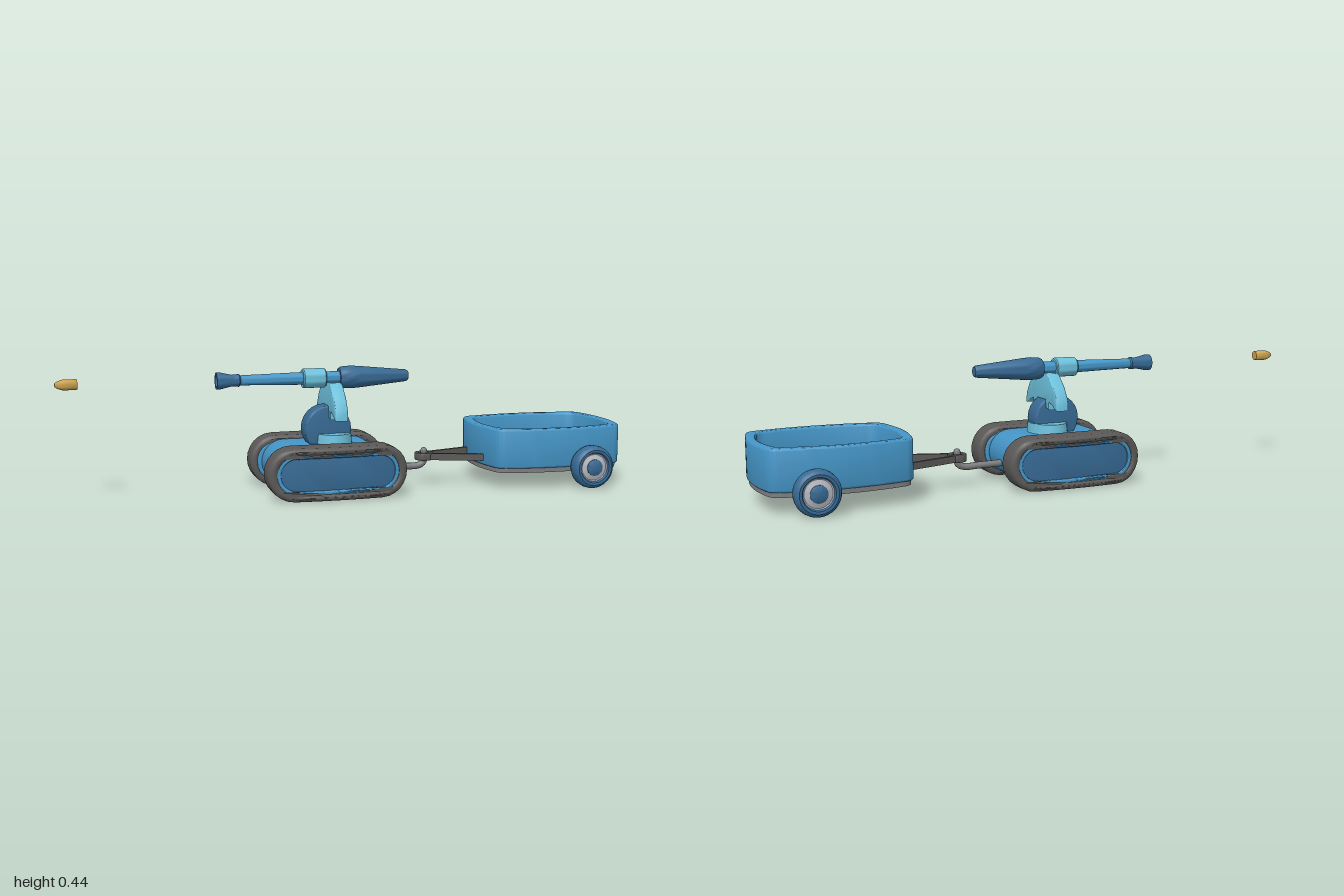
import * as THREE from 'three';
import { toCreasedNormals } from 'three/addons/utils/BufferGeometryUtils.js';

const mat = (name, color) => Object.assign(new THREE.MeshStandardMaterial({ color }), { name });

export function createModel() {
  const root = new THREE.Group();
  const blue = mat('mid blue', 0x4596c8);
  const light = mat('light blue', 0x6cc0dc);
  const navy = mat('dark blue', 0x376a94);
  const rubber = mat('dark grey', 0x5a5957);
  const steel = mat('steel grey', 0x7d7e80);
  const pale = mat('pale grey', 0xb8bac2);
  const brass = mat('brass', 0xc9a14e);

  const add = (name, geo, material, parent = root) => {
    const m = new THREE.Mesh(geo, material);
    m.name = name;
    parent.add(m);
    return m;
  };
  const V = pts => pts.map(p => new THREE.Vector2(...p));
  const crease = (g, a = 0.6) => toCreasedNormals(g, a);
  // Turned part along x; profile is [x, radius]
  const turned = (pts, seg = 24) =>
    crease(new THREE.LatheGeometry(V(pts.map(([x, r]) => [r, x])), seg).rotateZ(-Math.PI / 2));
  // Extrusion whose bevel stays within the outline, starting at z = 0
  const slab = (shape, depth, bevel = 0) => {
    const g = new THREE.ExtrudeGeometry(shape, {
      depth: depth - 2 * bevel, bevelEnabled: bevel > 0, bevelThickness: bevel,
      bevelSize: bevel, bevelOffset: -bevel, bevelSegments: 3, curveSegments: 12,
    });
    return g.translate(0, 0, bevel);
  };
  const upright = g => g.rotateX(-Math.PI / 2);

  // Track outline: stadium with subdivided straights
  const stadium = (half, r) => {
    const pts = [], flat = half - r, n = 12;
    for (const s of [1, -1]) {
      for (let i = 0; i <= n; i++) {
        const a = -Math.PI / 2 + (Math.PI * i) / n;
        pts.push([s * (flat + r * Math.cos(a)), s * r * Math.sin(a)]);
      }
      for (let i = 1; i < 8; i++) pts.push([s * flat * (1 - i / 4), s * r]);
    }
    return V(pts);
  };
  // Bow the outer side outwards in the middle
  const bow = g => {
    const p = g.attributes.position;
    for (let i = 0; i < p.count; i++) {
      const x = p.getX(i) / 0.245, z = p.getZ(i);
      p.setZ(i, z - 0.022 * x * x * Math.max(0, z / 0.105));
    }
    return crease(g);
  };

  // Tracked vehicle
  const vehicle = new THREE.Group();
  vehicle.name = 'trackedVehicle';
  vehicle.position.set(-0.08, 0.092, 0);
  root.add(vehicle);
  const hull = slab(new THREE.Shape(stadium(0.207, 0.079)), 0.22, 0.012).translate(0, 0, -0.11);
  add('hull', crease(hull), blue, vehicle);

  for (const side of [1, -1]) {
    const track = new THREE.Group();
    track.name = side > 0 ? 'leftTrack' : 'rightTrack';
    if (side < 0) track.rotation.y = Math.PI;
    vehicle.add(track);
    const belt = new THREE.Shape(stadium(0.245, 0.091));
    belt.holes.push(new THREE.Path(stadium(0.212, 0.066)));
    add('trackBelt', bow(slab(belt, 0.105, 0.014)).translate(0, 0, 0.103), rubber, track);
    const rim = new THREE.Shape(stadium(0.222, 0.07));
    rim.holes.push(new THREE.Path(stadium(0.201, 0.055)));
    add('trackRim', bow(slab(rim, 0.1, 0.004)).translate(0, 0, 0.1), blue, track);
    add('trackPanel', bow(slab(new THREE.Shape(stadium(0.205, 0.059)), 0.092, 0.004))
      .translate(0, 0, 0.1), navy, track);
  }

  // Turret: base plate, pivot drum and crescent yoke
  const plate = new THREE.CylinderGeometry(0.066, 0.07, 0.045, 32);
  add('turretBase', plate.scale(1, 1, 1.25), light).position.set(-0.055, 0.183, 0);
  const drum = slab(new THREE.Shape().absarc(0, 0, 0.083, 0, Math.PI * 2), 0.074, 0.006);
  add('pivotDrum', crease(drum), navy).position.set(-0.077, 0.22, -0.037);

  const half = [[0.045, 0.381], [0.06, 0.373], [0.1, 0.335], [0.125, 0.295], [0.128, 0.26],
    [0.115, 0.262], [0.095, 0.273], [0.065, 0.284], [0.064, 0.256], [0.04, 0.26], [0.035, 0.29]];
  const mirrored = half.map(([z, y]) => [-z, y]).reverse();
  const yoke = slab(new THREE.Shape(V([...half, ...mirrored])), 0.046, 0.004);
  add('gunYoke', crease(yoke.rotateY(Math.PI / 2)), light).position.x = -0.077;

  // Gun
  const gun = new THREE.Group();
  gun.name = 'gun';
  gun.position.y = 0.397;
  root.add(gun);
  add('muzzle', turned([[-0.435, 0], [-0.435, 0.017], [-0.463, 0.02], [-0.463, 0.029],
    [-0.45, 0.029], [-0.41, 0.02], [-0.385, 0.022], [-0.38, 0.018]]), navy, gun);
  add('barrel', turned([[-0.39, 0.017], [-0.16, 0.022], [-0.02, 0.022]]), blue, gun);
  add('barrelSleeve', turned([[-0.162, 0], [-0.162, 0.031], [-0.158, 0.034], [-0.084, 0.034],
    [-0.08, 0.031], [-0.08, 0]]), light, gun);
  add('breech', turned([[-0.03, 0], [-0.03, 0.033], [-0.02, 0.038], [0.01, 0.04], [0.04, 0.038],
    [0.215, 0.021], [0.222, 0.017], [0.222, 0]]), navy, gun);

  // Shell in flight
  add('shell', turned([[-1, 0], [-0.998, 0.006], [-0.99, 0.012], [-0.976, 0.017], [-0.968, 0.018],
    [-0.929, 0.018], [-0.925, 0.016], [-0.925, 0]]), brass).position.y = 0.4;

  // Tow hook and coupling
  const hookPath = new THREE.CatmullRomCurve3([[0.08, 0.072], [0.2, 0.07], [0.265, 0.07],
    [0.285, 0.082], [0.287, 0.125]].map(([x, y]) => new THREE.Vector3(x, y, 0)));
  add('towHook', new THREE.TubeGeometry(hookPath, 32, 0.012, 10), steel);
  add('hookTip', new THREE.SphereGeometry(0.012, 12, 8), steel).position.set(0.287, 0.123, 0);
  const eye = new THREE.Shape().absarc(0, 0, 0.033, 0, Math.PI * 2);
  eye.holes.push(new THREE.Path().absarc(0, 0, 0.017, 0, Math.PI * 2));
  add('towEye', crease(upright(slab(eye, 0.027, 0.003))), rubber).position.set(0.287, 0.09, 0);
  for (const side of [1, -1]) {
    const bar = add('drawbar', new THREE.BoxGeometry(0.2, 0.024, 0.013), rubber);
    bar.position.set(0.396, 0.103, side * 0.051);
    bar.rotation.y = -side * 0.31;
  }

  // Trailer tub: barrel-sided outline with rounded corners
  const outline = (inset, Type = THREE.Shape) => {
    const a = 0.26 - inset, b = 0.207 - inset, s = new Type();
    s.moveTo(-a + 0.06, -b + 0.022);
    s.quadraticCurveTo(0, -b - 0.022, a - 0.06, -b + 0.022);
    s.quadraticCurveTo(a - 0.028, -b + 0.027, a - 0.02, -b + 0.055);
    s.quadraticCurveTo(a + 0.02, 0, a - 0.02, b - 0.055);
    s.quadraticCurveTo(a - 0.028, b - 0.027, a - 0.06, b - 0.022);
    s.quadraticCurveTo(0, b + 0.022, -a + 0.06, b - 0.022);
    s.quadraticCurveTo(-a + 0.028, b - 0.027, -a + 0.02, b - 0.055);
    s.quadraticCurveTo(-a - 0.02, 0, -a + 0.02, -b + 0.055);
    s.quadraticCurveTo(-a + 0.028, -b + 0.027, -a + 0.06, -b + 0.022);
    return s;
  };
  const trailer = new THREE.Group();
  trailer.name = 'trailer';
  trailer.position.x = 0.737;
  root.add(trailer);
  const walls = outline(0);
  walls.holes.push(outline(0.03, THREE.Path));
  add('trailerWalls', crease(upright(slab(walls, 0.14, 0.007))), blue, trailer).position.y = 0.075;
  add('trailerFloor', upright(slab(outline(0.02), 0.025)), light, trailer).position.y = 0.075;
  add('trailerBase', crease(upright(slab(outline(0.007), 0.018))), steel, trailer).position.y = 0.059;
  const axle = new THREE.CylinderGeometry(0.015, 0.015, 0.43, 16).rotateX(Math.PI / 2);
  add('axle', axle, steel, trailer).position.set(0.1, 0.079, 0);

  // Wheels, turned along z
  const disc = pts => crease(new THREE.LatheGeometry(V(pts), 32).rotateX(Math.PI / 2));
  for (const side of [1, -1]) {
    const wheel = new THREE.Group();
    wheel.name = side > 0 ? 'leftWheel' : 'rightWheel';
    wheel.position.set(0.1, 0.077, side * 0.203);
    if (side < 0) wheel.rotation.y = Math.PI;
    trailer.add(wheel);
    add('tyre', disc([[0, 0], [0.064, 0], [0.071, 0.004], [0.075, 0.014], [0.0765, 0.028],
      [0.075, 0.042], [0.07, 0.052], [0.063, 0.056], [0.054, 0.055], [0.05, 0.046]]), navy, wheel);
    add('hubRing', disc([[0.051, 0.046], [0.046, 0.044], [0.028, 0.05]]), pale, wheel);
    add('hubCap', disc([[0.029, 0.045], [0.029, 0.053], [0.024, 0.056], [0, 0.057]]), navy, wheel);
  }
  return root;
}
